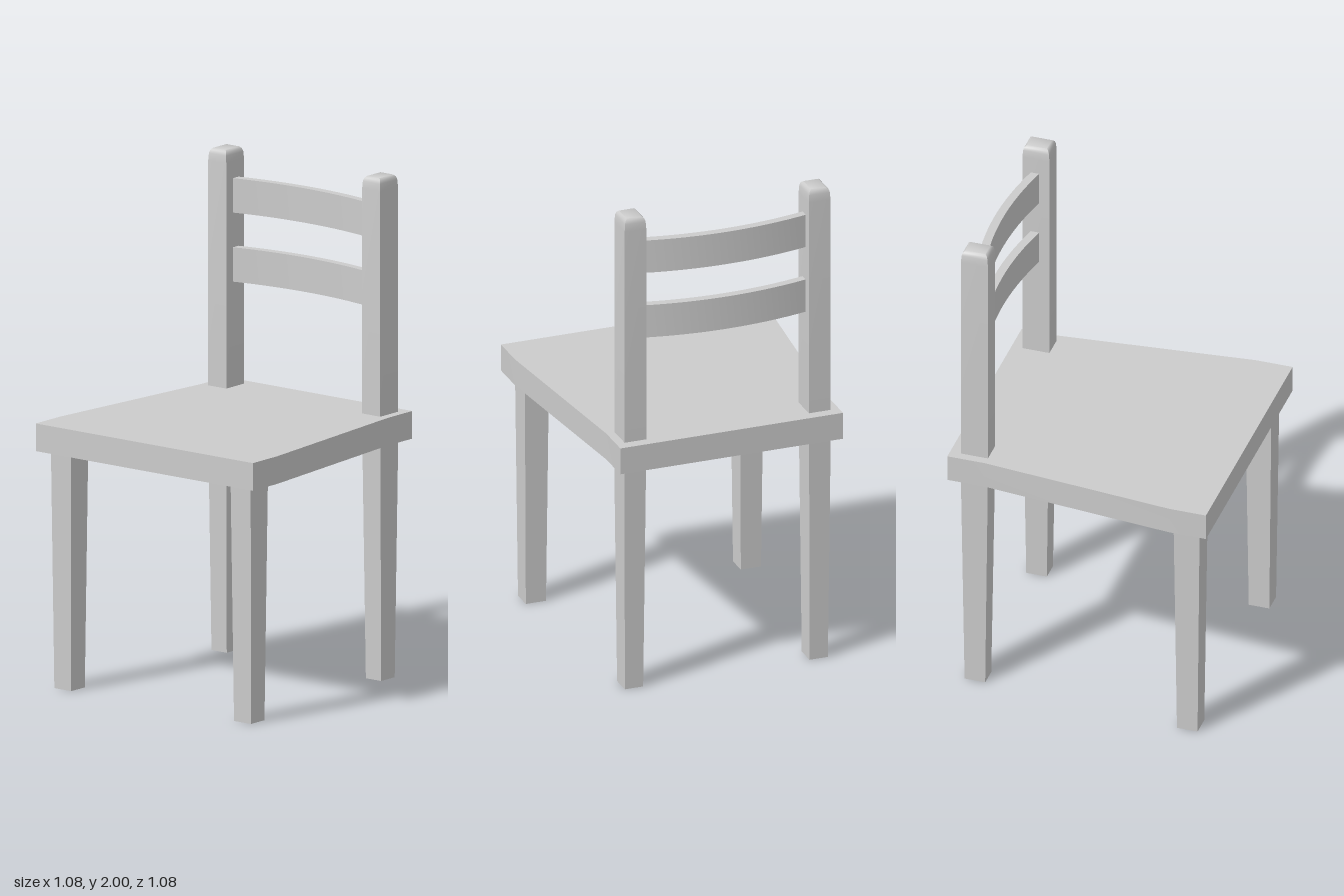
import * as THREE from 'three';
import { toCreasedNormals } from 'three/addons/utils/BufferGeometryUtils.js';

const material = new THREE.MeshStandardMaterial({ color: 0xcccccc });

// Square-section bar lofted through rings of [y, half width x, half depth z]
function bar(rings, crease = 0.5) {
  const corners = [[1, 1], [1, -1], [-1, -1], [-1, 1]];
  const positions = [], index = [];
  for (const [y, hx, hz] of rings)
    for (const [sx, sz] of corners) positions.push(sx * hx, y, sz * hz);
  for (let r = 0; r < rings.length - 1; r++) {
    for (let i = 0; i < 4; i++) {
      const a = r * 4 + i, b = r * 4 + (i + 1) % 4;
      index.push(a, b, b + 4, a, b + 4, a + 4);
    }
  }
  const t = (rings.length - 1) * 4;
  index.push(0, 2, 1, 0, 3, 2, t, t + 1, t + 2, t, t + 2, t + 3);
  const geometry = new THREE.BufferGeometry();
  geometry.setAttribute('position', new THREE.Float32BufferAttribute(positions, 3));
  geometry.setIndex(index);
  return toCreasedNormals(geometry, crease);
}

// Horizontal slab from an (x, z) outline that is symmetric in z
function slab(points, y, height) {
  const shape = new THREE.Shape(points.map(([x, z]) => new THREE.Vector2(x, z)));
  const geometry = new THREE.ExtrudeGeometry(shape, { depth: height, bevelEnabled: false });
  geometry.rotateX(-Math.PI / 2).translate(0, y, 0);
  return toCreasedNormals(geometry, 0.3);
}

export function createModel() {
  const chair = new THREE.Group();
  chair.name = 'chair';
  const add = (name, geometry, x = 0, z = 0) => {
    const mesh = new THREE.Mesh(geometry, material);
    mesh.name = name;
    mesh.position.set(x, 0, z);
    chair.add(mesh);
  };

  // Seat, narrowing toward the back
  const side = [[-0.54, -0.54], [-0.39, -0.54], [0.39, -0.463], [0.54, -0.463]];
  const otherSide = side.map(([x, z]) => [x, -z]).reverse();
  add('seat', slab([...side, ...otherSide], 0.945, 0.11));

  // Tapered legs and back posts with softly rounded tops
  const frontLeg = bar([[0, 0.042, 0.042], [0.945, 0.053, 0.05]]);
  const backLeg = bar([[0, 0.042, 0.038], [0.945, 0.055, 0.045]]);
  const post = bar([
    [1.055, 0.055, 0.045], [1.95, 0.055, 0.045], [1.98, 0.053, 0.043],
    [1.993, 0.049, 0.039], [2, 0.041, 0.031],
  ], 0.9);
  for (const [label, s] of [['left', 1], ['right', -1]]) {
    add(`${label}FrontLeg`, frontLeg, -0.447, s * 0.447);
    add(`${label}BackLeg`, backLeg, 0.441, s * 0.384);
    add(`${label}BackPost`, post, 0.441, s * 0.383);
  }

  // Curved back rails
  const inner = [], outer = [], n = 16, end = 0.342;
  for (let i = 0; i <= n; i++) {
    const u = (i / n) * 2 - 1, bow = 0.04 * (1 - u * u);
    inner.push([0.427 + bow, u * end]);
    outer.push([0.461 + bow, u * end]);
  }
  const railOutline = [...outer, ...inner.reverse()];
  add('lowerRail', slab(railOutline, 1.473, 0.137));
  add('upperRail', slab(railOutline, 1.748, 0.137));

  return chair;
}
